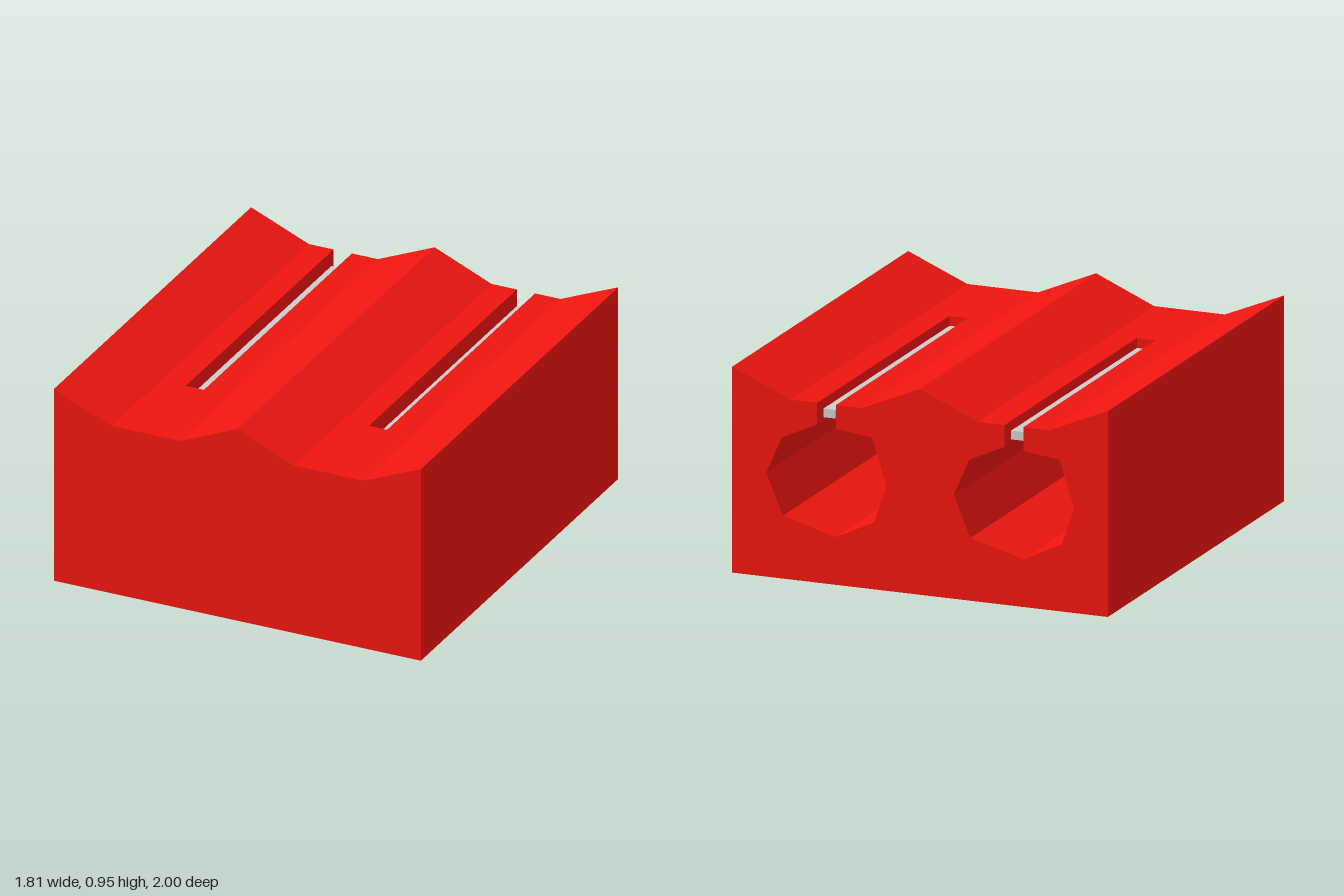
import * as THREE from 'three';

const W = 0.905, FLAT = 0.83, PEAK = 0.95, BORE_END = 0.5;

// One bore with its slot opening to the top, walked from the slot's left edge to its right
function keyhole(c) {
  return [
    [-0.045, FLAT], [-0.045, 0.72], [-0.22, 0.70], [-0.29, 0.48], [-0.23, 0.31], [-0.045, 0.22],
    [0.21, 0.29], [0.29, 0.48], [0.215, 0.65], [0.045, 0.73], [0.045, FLAT],
  ].map(([x, y]) => [c + x, y]);
}

// Block outline with two shallow troughs on top, optionally cut by the bores
function outline(cut) {
  const pts = [
    [-W, 0], [-W, PEAK], [-0.62, FLAT], ...(cut ? keyhole(-0.453) : []), [-0.28, FLAT],
    [0, PEAK], [0.28, FLAT], ...(cut ? keyhole(0.45) : []), [0.62, FLAT], [W, PEAK], [W, 0],
  ];
  return new THREE.Shape(pts.map(([x, y]) => new THREE.Vector2(x, y)));
}

export function createModel() {
  const group = new THREE.Group();
  group.name = 'slottedBlock';
  const red = new THREE.MeshStandardMaterial({ color: 0xee1510, flatShading: true });
  const grey = new THREE.MeshStandardMaterial({ color: 0xcccccc, flatShading: true });

  const slab = (name, cut, z0, z1) => {
    const geo = new THREE.ExtrudeGeometry(outline(cut), { depth: z1 - z0, bevelEnabled: false });
    const mesh = new THREE.Mesh(geo.translate(0, 0, z0), red);
    mesh.name = name;
    group.add(mesh);
  };
  slab('solidFront', false, BORE_END, 1);
  slab('boredBody', true, -1, BORE_END);

  // Thin strips lying inside the slots
  for (const [name, x0, x1] of [['rightStrip', -0.475, -0.409], ['leftStrip', 0.438, 0.494]]) {
    const strip = new THREE.Mesh(new THREE.BoxGeometry(x1 - x0, 0.04, 1.43), grey);
    strip.position.set((x0 + x1) / 2, 0.765, -0.215);
    strip.name = name;
    group.add(strip);
  }
  return group;
}
